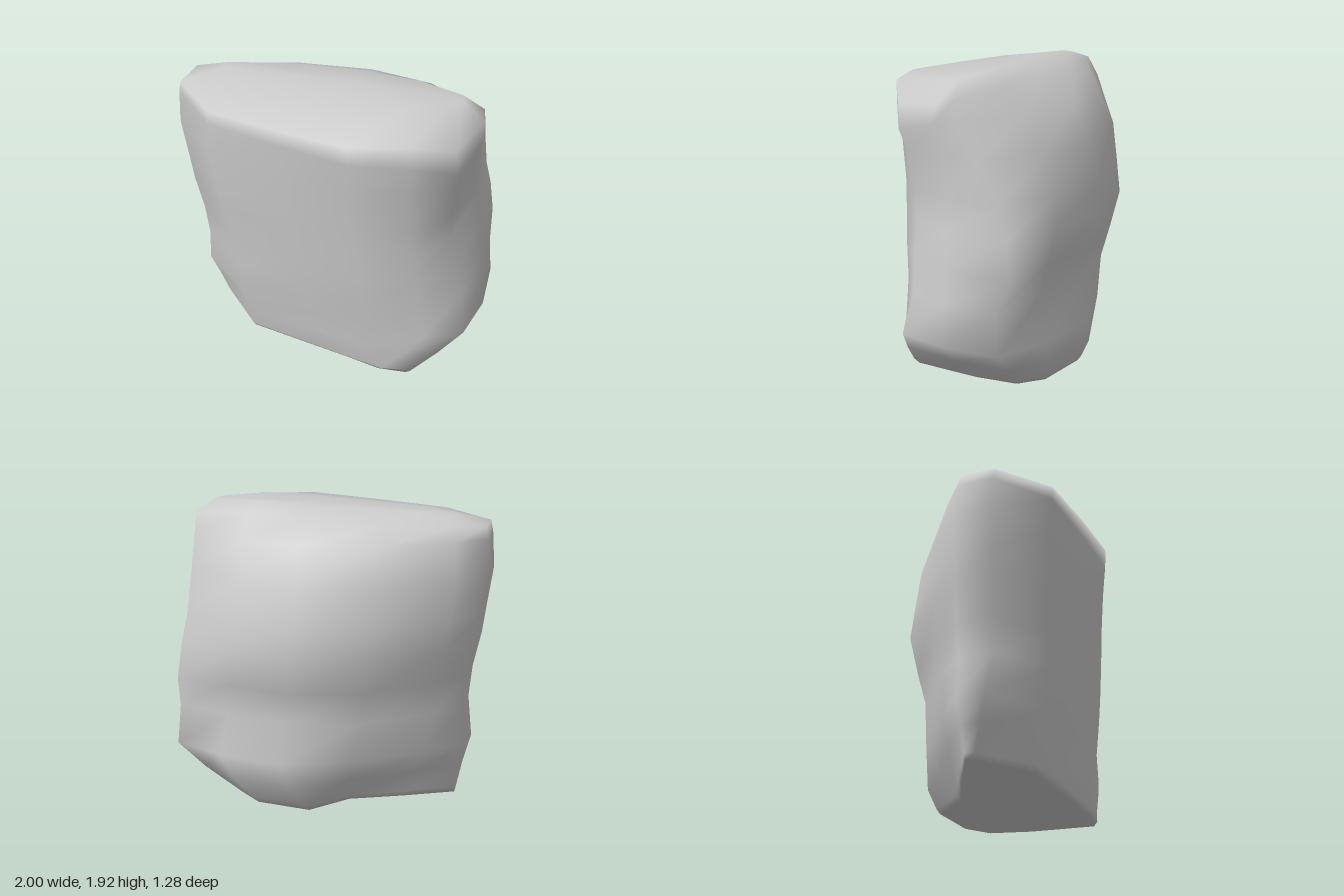
import * as THREE from 'three';

// Plan outlines in unit space: from the narrow end (-x) along the front, round +x and back
const baseOutline = [
  [-1, .07], [-.57, .69], [.08, .84], [.43, .92], [.73, 1], [.99, .95], [1, 0],
  [.95, -.59], [.75, -.87], [.26, -1], [-.06, -.55], [-.55, -.3], [-1, -.04],
];
const bodyOutline = [
  [-1, .3], [-.67, .75], [-.15, .9], [.31, 1], [.68, .83], [.92, .5], [1, 0],
  [.98, -.6], [.6, -.83], [.18, -1], [-.33, -.87], [-.78, -.4], [-.98, -.1],
];

// Extent of the outline at each level: y, -x, +x, front, back, slope of y along x
const levels = [
  [0, -.81, .61, .45, .46, 0],
  [.04, -.82, .65, .485, .49, 0],
  [.2, -.855, .83, .5, .58, 0],
  [.36, -.9, 1, .51, .6, 0],
  [.62, -.87, .97, .535, .53, 0],
  [.83, -.89, .955, .555, .59, 0],
  [1.06, -.94, .93, .575, .64, 0],
  [1.25, -.965, .9, .59, .6, 0],
  [1.5, -1, .905, .61, .55, 0],
  [1.72, -.985, .915, .63, .43, 0],
  [1.84, -.97, .9, .64, .24, .045],
  [1.9, -.74, .77, .22, .11, .045],
];

// Local dents and bulges: centre, radius, push
const dents = [
  { at: [.85, 1.05, .28], radius: .3, push: [-.05, 0, -.01] },  // hollow on the side
  { at: [.84, 1.8, .33], radius: .3, push: [0, -.12, .06] },    // front shoulder
  { at: [.92, 1.87, -.05], radius: .2, push: [.02, -.08, 0] },  // side shoulder
  { at: [.9, 1.7, -.3], radius: .45, push: [0, 0, .2] },        // cut back corner
  { at: [.94, .8, -.38], radius: .25, push: [0, 0, -.07] },     // back corner bulge
].map(({ at, radius, push }) => ({
  at: new THREE.Vector3(...at), radius, push: new THREE.Vector3(...push),
}));

function surfacePoint([y, left, right, front, back, slope], i) {
  const blend = Math.min(1, y / .5);
  const u = THREE.MathUtils.lerp(baseOutline[i][0], bodyOutline[i][0], blend);
  const v = THREE.MathUtils.lerp(baseOutline[i][1], bodyOutline[i][1], blend);
  const x = THREE.MathUtils.mapLinear(u, -1, 1, left, right);
  const start = new THREE.Vector3(x, y + slope * x, v * (v > 0 ? front : back));
  const point = start.clone();
  for (const { at, radius, push } of dents)
    point.addScaledVector(push, Math.exp(-2 * start.distanceToSquared(at) / radius ** 2));
  return point;
}

// Skin the levels and close both ends with fans
function boulderGeometry() {
  const n = bodyOutline.length;
  const points = levels.flatMap(level => bodyOutline.map((_, i) => surfacePoint(level, i)));
  const last = points.length - n, low = points.length, high = low + 1;
  points.push(new THREE.Vector3(-.1, 0, 0), new THREE.Vector3(.1, 1.905, .04));

  const index = [];
  for (let i = 0; i < n; i++) {
    const j = (i + 1) % n;
    for (let r = 0; r < last; r += n)
      index.push(r + i, r + j, r + n + j, r + i, r + n + j, r + n + i);
    index.push(j, i, low, last + i, last + j, high);
  }
  const geometry = new THREE.BufferGeometry().setFromPoints(points);
  geometry.setIndex(index);
  geometry.computeVertexNormals();
  return geometry;
}

export function createModel() {
  const group = new THREE.Group();
  group.name = 'rock';
  const boulder = new THREE.Mesh(
    boulderGeometry(),
    new THREE.MeshStandardMaterial({ color: 0xcccccc })
  );
  boulder.name = 'boulder';
  group.add(boulder);
  return group;
}
